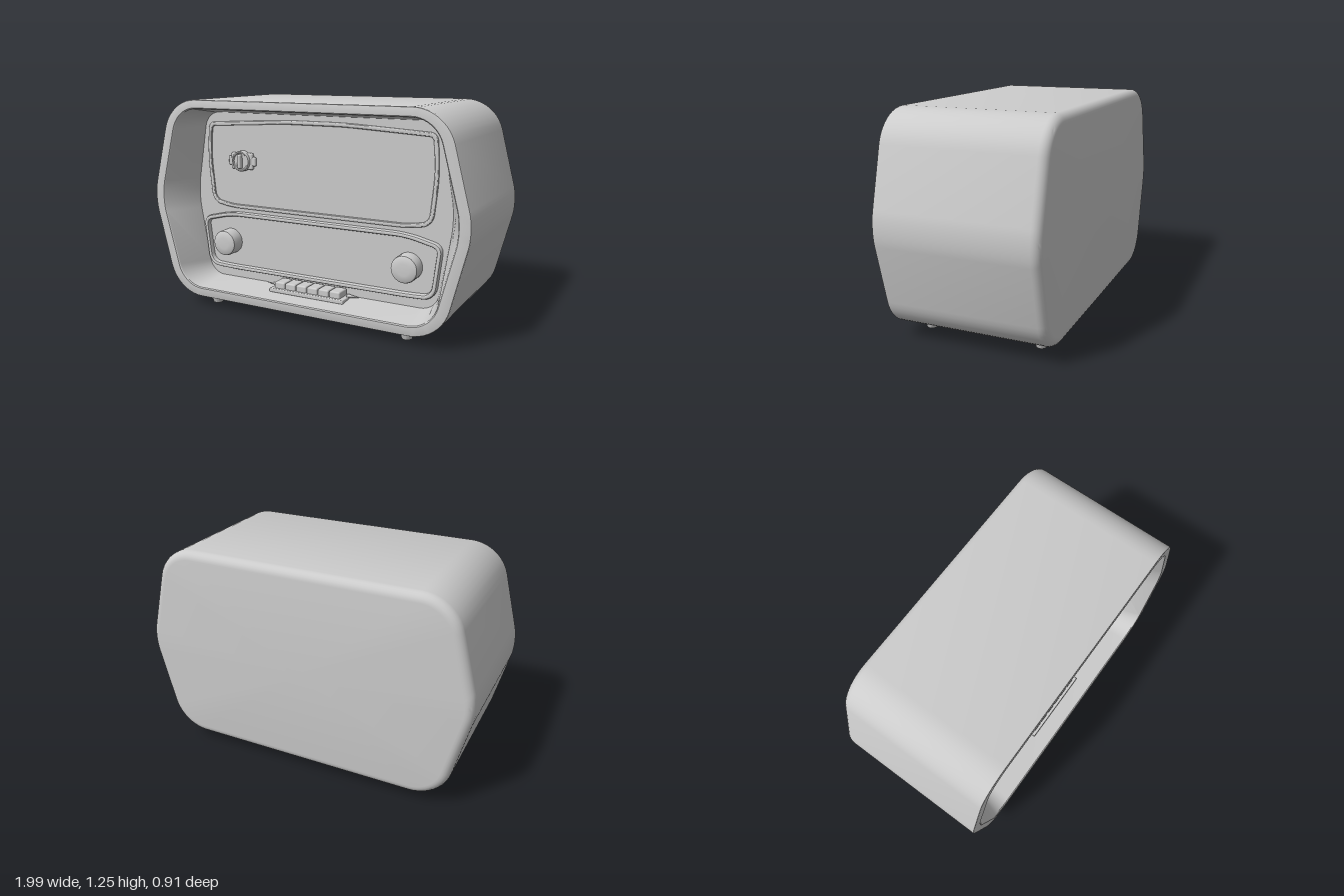
import * as THREE from 'three';
import { toCreasedNormals } from 'three/addons/utils/BufferGeometryUtils.js';
import { RoundedBoxGeometry } from 'three/addons/geometries/RoundedBoxGeometry.js';

const grey = new THREE.MeshStandardMaterial({ color: 0xcccccc });
const PANEL_Z = 0.235;

// Mirrors right-hand corners [x, y, rounding], listed bottom to top, into a closed loop
const mirrored = (right) => [...right, ...right.map(([x, y, t]) => [-x, y, t]).reverse()];

// Moves every edge of a convex corner loop inwards by d
function inset(corners, d) {
  const n = corners.length;
  return corners.map(([x, y, t], i) => {
    const p = corners[(i + n - 1) % n], q = corners[(i + 1) % n];
    const a = new THREE.Vector2(x - p[0], y - p[1]).normalize();
    const b = new THREE.Vector2(q[0] - x, q[1] - y).normalize();
    const k = d / (1 + a.dot(b));
    return [x - (a.y + b.y) * k, y + (a.x + b.x) * k, Math.max(t - d * 0.75, 0.006)];
  });
}

// Rounds the corners of a loop; always gives the same number of points per corner
function rounded(corners, steps = 10) {
  const n = corners.length, out = [];
  corners.forEach(([x, y, t], i) => {
    const c = new THREE.Vector2(x, y);
    const toward = (o, d) => new THREE.Vector2(o[0] - x, o[1] - y).setLength(d).add(c);
    const p = corners[(i + n - 1) % n], q = corners[(i + 1) % n];
    const curve = new THREE.CubicBezierCurve(
      toward(p, t), toward(p, t * 0.42), toward(q, t * 0.42), toward(q, t));
    out.push(...curve.getPoints(steps));
  });
  return out;
}

// Skins a list of [corners, z] sections; capBack / capFront close the ends
function loft(sections, { capBack = false, capFront = false } = {}) {
  const rings = sections.map(([corners, z]) => rounded(corners).map((p) => [p.x, p.y, z]));
  const n = rings[0].length, pos = [], idx = [];
  rings.forEach((r) => r.forEach((p) => pos.push(...p)));
  for (let j = 0; j < rings.length - 1; j++) {
    for (let i = 0; i < n; i++) {
      const a = j * n + i, b = j * n + (i + 1) % n;
      idx.push(a, b, b + n, a, b + n, a + n);
    }
  }
  const cap = (ring, first, flip) => {
    const c = pos.length / 3;
    pos.push(0, 0.64, ring[0][2]);
    for (let i = 0; i < n; i++) {
      const a = first + i, b = first + (i + 1) % n;
      idx.push(c, flip ? b : a, flip ? a : b);
    }
  };
  if (capBack) cap(rings[0], 0, true);
  if (capFront) cap(rings.at(-1), (rings.length - 1) * n, false);
  const g = new THREE.BufferGeometry();
  g.setAttribute('position', new THREE.Float32BufferAttribute(pos, 3));
  g.setIndex(idx);
  return toCreasedNormals(g, 0.5);
}

// Six-sided cabinet outline
const hexagon = (w, cx, bottom, top, t) =>
  mirrored([[cx, bottom, t], [w, 0.66, 0.1], [cx, top, t]]);

function lathe(points) {
  const g = new THREE.LatheGeometry(points.map(([r, y]) => new THREE.Vector2(r, y)), 32);
  return toCreasedNormals(g, 0.6);
}

export function createModel() {
  const model = new THREE.Group();
  const add = (name, geometry, x = 0, y = 0, z = 0, parent = model) => {
    const m = new THREE.Mesh(geometry, grey);
    m.name = name;
    m.position.set(x, y, z);
    parent.add(m);
    return m;
  };

  // Cabinet: rounded back, straight sides, front rim and tapering recess to the panel
  const outer = hexagon(1.008, 0.855, 0.06, 1.25, 0.18);
  const sections = [];
  for (let i = 0; i <= 6; i++) {
    const a = (i / 6) * Math.PI / 2;
    sections.push([inset(outer, 0.05 * (1 - Math.sin(a))), -0.405 - 0.05 * Math.cos(a)]);
  }
  sections.push([outer, 0.447], [inset(outer, 0.003), 0.453], [inset(outer, 0.009), 0.455]);
  const mouth = hexagon(0.942, 0.8, 0.117, 1.197, 0.13);
  sections.push([inset(mouth, -0.006), 0.455], [mouth, 0.449]);
  sections.push([hexagon(0.84, 0.75, 0.143, 1.167, 0.09), PANEL_Z]);
  add('cabinet', loft(sections, { capBack: true, capFront: true }));

  // Raised frames around the speaker area and the tuning scale
  const frame = (corners, width, height) => {
    const profile = [[0, -0.005], [0, 0.6], [0.15, 0.9], [0.35, 1], [0.65, 1], [0.85, 0.9], [1, 0.6], [1, -0.005]];
    return loft(profile.map(([u, h]) => [inset(corners, u * width), PANEL_Z + h * height]));
  };
  const speaker = mirrored([
    [0.58, 0.585, 0.06], [0.722, 0.61, 0.06], [0.752, 0.9, 0.1], [0.735, 1.105, 0.04], [0.2, 1.135, 0.08]]);
  add('speakerFrame', frame(speaker, 0.024, 0.012));
  const scale = mirrored([
    [0.58, 0.197, 0.06], [0.75, 0.204, 0.07], [0.787, 0.512, 0.05], [0.58, 0.562, 0.08]]);
  add('scaleFrame', frame(scale, 0.027, 0.03));

  // Two large control knobs
  const knob = lathe([[0.078, 0], [0.078, 0.07], [0.075, 0.079], [0.067, 0.085], [0.035, 0.088], [0, 0.089]]);
  knob.rotateX(Math.PI / 2);
  for (const [name, x] of [['rightKnob', -0.595], ['leftKnob', 0.59]]) add(name, knob, x, 0.372, PANEL_Z);

  // Small selector: winged plate, collar ring and grip bar
  const selector = new THREE.Group();
  selector.name = 'selector';
  selector.position.set(-0.492, 0.88, PANEL_Z);
  model.add(selector);
  add('selectorPlate', new RoundedBoxGeometry(0.155, 0.1, 0.024, 2, 0.01), 0, 0, 0.008, selector);
  add('selectorWings', new RoundedBoxGeometry(0.195, 0.055, 0.02, 2, 0.009), 0, 0, 0.008, selector);
  const collar = lathe([[0.062, 0], [0.062, 0.03], [0.058, 0.036], [0.051, 0.036], [0.047, 0.03], [0, 0.03]]);
  collar.rotateX(Math.PI / 2);
  add('selectorCollar', collar, 0, 0, 0, selector);
  add('selectorGrip', new RoundedBoxGeometry(0.026, 0.086, 0.032, 3, 0.01), 0, 0, 0.038, selector);

  // Key strip: base with pointed ends and six push keys
  const keys = new THREE.Group();
  keys.name = 'keyStrip';
  keys.position.set(-0.003, 0, 0);
  model.add(keys);
  add('keyBase', new RoundedBoxGeometry(0.49, 0.024, 0.125, 2, 0.006), 0, 0.139, 0.29, keys);
  for (const s of [-1, 1]) {
    const tip = new THREE.ConeGeometry(0.02, 0.085, 16);
    tip.scale(0.5, 1, 1);
    tip.rotateZ(-s * Math.PI / 2);
    add(s < 0 ? 'rightKeyTip' : 'leftKeyTip', tip, s * 0.275, 0.151, 0.262, keys);
  }
  for (let i = 0; i < 6; i++) {
    add('key', new RoundedBoxGeometry(0.069, 0.046, 0.095, 3, 0.009), (i - 2.5) * 0.073, 0.166, 0.288, keys);
  }

  // Four tapered feet
  const foot = lathe([[0, 0], [0.022, 0], [0.028, 0.003], [0.031, 0.009], [0.042, 0.062], [0, 0.062]]);
  for (const x of [-0.63, 0.63]) for (const z of [-0.32, 0.345]) add('foot', foot, x, 0, z);

  return model;
}
